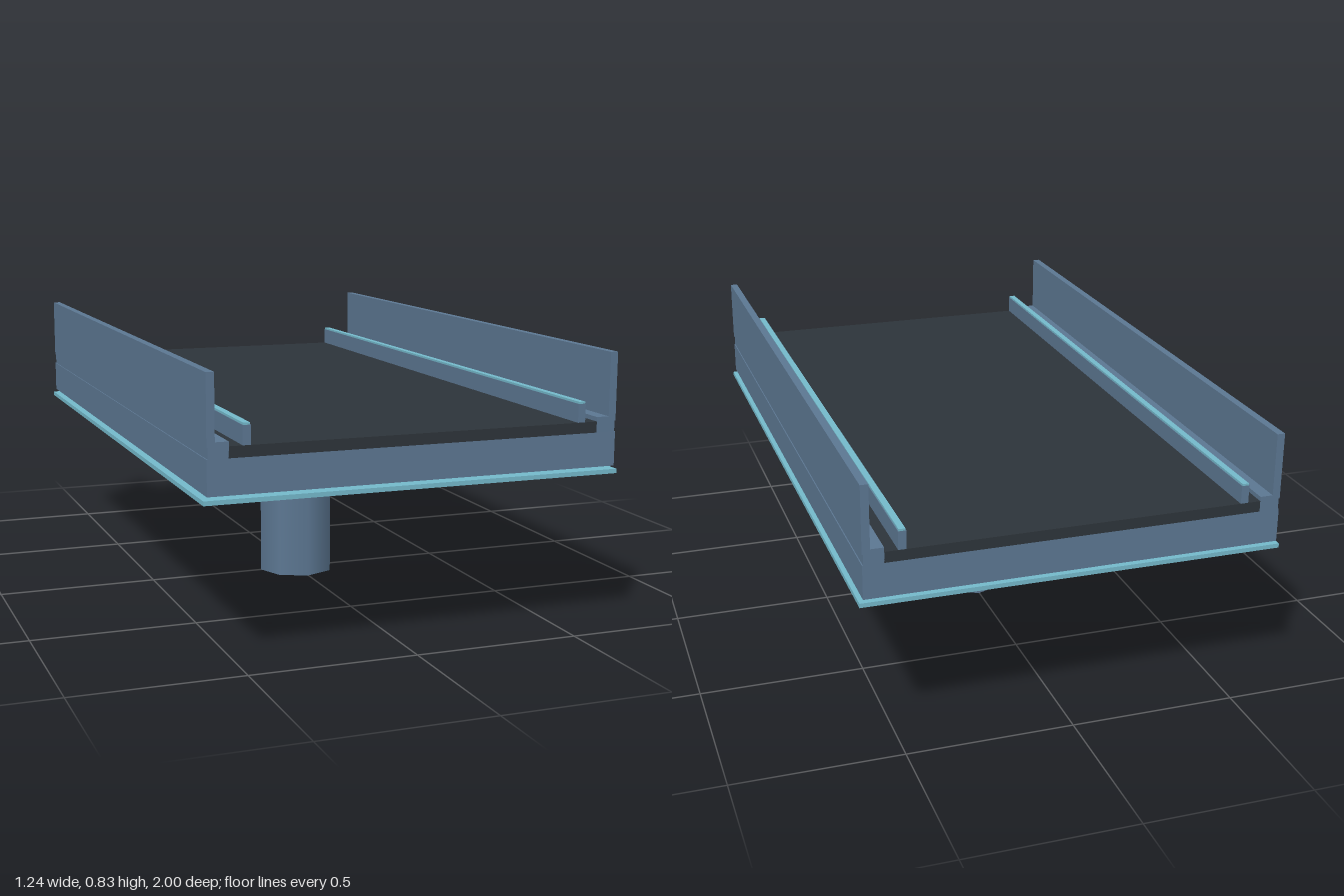
import * as THREE from 'three';

const steel = new THREE.MeshStandardMaterial({ name: 'blue steel', color: 0x5c7792 });
const asphalt = new THREE.MeshStandardMaterial({ name: 'dark road', color: 0x2d343a });
const cyan = new THREE.MeshStandardMaterial({ name: 'cyan trim', color: 0x74b9cb });

const LENGTH = 2;

export function createModel() {
  const model = new THREE.Group();
  model.name = 'elevatedRoadSegment';

  // Full-length beam spanning x0..x1 and y0..y1
  const beam = (name, material, x0, x1, y0, y1) => {
    const mesh = new THREE.Mesh(new THREE.BoxGeometry(x1 - x0, y1 - y0, LENGTH), material);
    mesh.name = name;
    mesh.position.set((x0 + x1) / 2, (y0 + y1) / 2, 0);
    model.add(mesh);
  };
  // Beam mirrored on both sides
  const pair = (name, material, x0, x1, y0, y1) => {
    beam(name + 'Left', material, x0, x1, y0, y1);
    beam(name + 'Right', material, -x1, -x0, y0, y1);
  };

  // Support column
  const column = new THREE.Mesh(new THREE.CylinderGeometry(0.125, 0.125, 0.5, 8), steel);
  column.name = 'supportColumn';
  column.position.y = 0.25;
  model.add(column);

  // Deck, road surface and the trim plate below
  beam('undersidePlate', cyan, -0.62, 0.62, 0.477, 0.49);
  beam('deck', steel, -0.61, 0.61, 0.5, 0.6);
  beam('roadSurface', asphalt, -0.55, 0.55, 0.6, 0.632);

  // Kerbs, side walls and guide rails with bright caps
  pair('kerb', steel, 0.549, 0.607, 0.6, 0.645);
  pair('sideWall', steel, 0.587, 0.61, 0.632, 0.83);
  pair('guideRail', steel, 0.488, 0.511, 0.632, 0.686);
  pair('railCap', cyan, 0.49, 0.509, 0.686, 0.692);

  return model;
}
